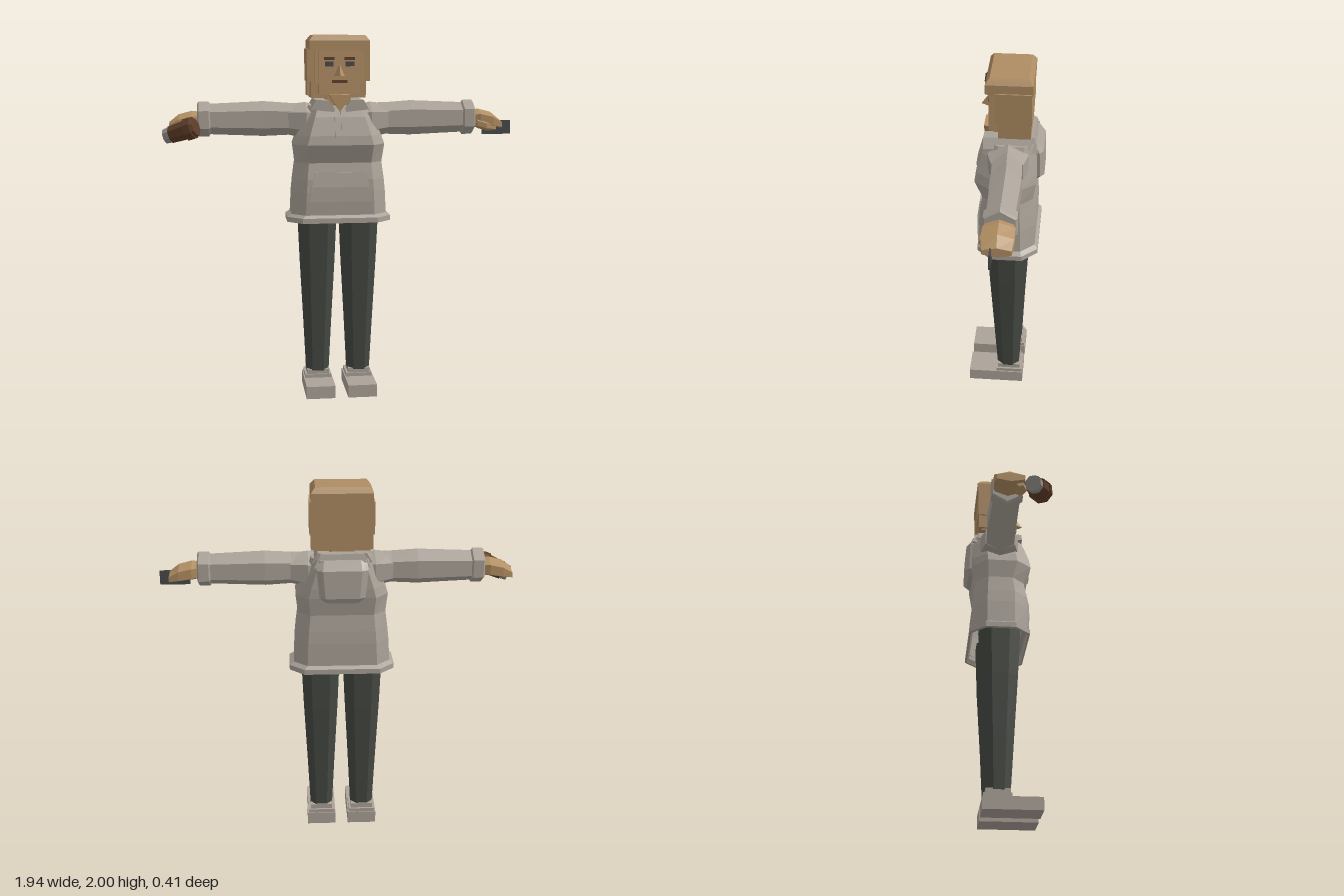
import * as THREE from 'three';

const mat = (name, color) => new THREE.MeshStandardMaterial({ name, color, flatShading: true });
const V = (x, y, z) => new THREE.Vector3(x, y, z);

export function createModel() {
  const skin = mat('skin', 0xb39064), hair = mat('hair', 0xae8c62), cloth = mat('hoodie', 0xaaa298);
  const shoe = mat('shoe', 0xaba298), pants = mat('trousers', 0x444841), brown = mat('cup brown', 0x5e3e28);
  const lid = mat('cup grey', 0x94908c), dark = mat('phone and eyes', 0x474a4a);
  cloth.side = THREE.DoubleSide;

  const root = new THREE.Group();
  const body = new THREE.Group();
  body.name = 'body';
  body.position.x = -0.012;
  root.add(body);

  function add(name, geo, material, parent = body) {
    const m = new THREE.Mesh(geo, material);
    m.name = name;
    parent.add(m);
    return m;
  }
  // box given by its limits
  function box(name, m, x0, x1, y0, y1, z0, z1, parent = body) {
    const g = new THREE.BoxGeometry(x1 - x0, y1 - y0, z1 - z0);
    g.translate((x0 + x1) / 2, (y0 + y1) / 2, (z0 + z1) / 2);
    return add(name, g, m, parent);
  }
  // skin a series of rings with flat faces, optionally capping the ends
  function loft(rings, capStart = true, capEnd = true) {
    const pts = [], n = rings[0].length, last = rings.length - 1;
    for (let i = 0; i < last; i++) for (let j = 0; j < n; j++) {
      const k = (j + 1) % n, a = rings[i][j], b = rings[i][k], c = rings[i + 1][k], d = rings[i + 1][j];
      pts.push(a, b, c, a, c, d);
    }
    for (let j = 1; j < n - 1; j++) {
      if (capStart) pts.push(rings[0][0], rings[0][j + 1], rings[0][j]);
      if (capEnd) pts.push(rings[last][0], rings[last][j], rings[last][j + 1]);
    }
    const g = new THREE.BufferGeometry().setFromPoints(pts);
    g.computeVertexNormals();
    return g;
  }
  // chamfered rectangle at height y: half width w, front zf, back zb
  function octagon([y, w, zf, zb], fx = 0.72, fz = 0.5) {
    const c = (zf + zb) / 2, d = (zf - zb) / 2;
    return [[-fx, 1], [fx, 1], [1, fz], [1, -fz], [fx, -1], [-fx, -1], [-1, -fz], [-1, fz]]
      .map(([x, z]) => V(x * w, y, c + z * d));
  }
  // rectangle at height y
  const rect = ([y, w, zf, zb]) => [V(-w, y, zf), V(w, y, zf), V(w, y, zb), V(-w, y, zb)];
  // six-sided ring across the arm, with a corner on top
  const hex = ([x, y, z, ry, rz]) => Array.from({ length: 6 }, (_, i) => {
    const t = i * Math.PI / 3;
    return V(x, y + Math.cos(t) * ry, z + Math.sin(t) * rz / 0.866);
  });

  // hoodie body, open at the bottom
  add('hoodieBody', loft([
    [1.0, 0.265, 0.135, -0.165], [1.15, 0.257, 0.138, -0.165], [1.22, 0.25, 0.136, -0.16],
    [1.31, 0.238, 0.12, -0.15], [1.41, 0.25, 0.16, -0.166], [1.46, 0.232, 0.153, -0.168],
    [1.56, 0.19, 0.125, -0.167], [1.62, 0.165, 0.1, -0.165]
  ].map(r => octagon(r)), false, true), cloth);
  add('hem', loft([
    [1.0, 0.262, 0.13, -0.16], [0.978, 0.272, 0.138, -0.172], [0.98, 0.288, 0.148, -0.182],
    [1.008, 0.288, 0.148, -0.182], [1.025, 0.262, 0.134, -0.164]
  ].map(r => octagon(r)), false, false), cloth);

  // front pocket, following the belly
  add('pocket', loft([
    [1.03, 0.185, 0.145, 0.11], [1.1, 0.175, 0.15, 0.11], [1.18, 0.16, 0.149, 0.11], [1.26, 0.14, 0.138, 0.1]
  ].map(rect)), cloth);

  // placket strips on the chest
  for (const s of [-1, 1]) {
    const strip = loft([[1.42, 0.014, 0.166, 0.14], [1.46, 0.014, 0.16, 0.13], [1.56, 0.014, 0.132, 0.1],
      [1.6, 0.014, 0.116, 0.08]].map(rect));
    add('placket', strip, cloth).position.x = s * 0.017;
  }

  // collar flaps either side of the neck and a back piece
  for (const s of [-1, 1]) {
    const flap = new THREE.Shape([[0.012, 1.585], [0.16, 1.6], [0.13, 1.652], [0.062, 1.65]]
      .map(p => new THREE.Vector2(...p)));
    const g = new THREE.ExtrudeGeometry(flap, { depth: 0.25, bevelEnabled: false });
    add('collarFlap', g, cloth).scale.x = s;
    body.children.at(-1).position.z = -0.135;
  }
  add('collarBack', loft([[1.58, 0.15, -0.08, -0.168], [1.65, 0.115, -0.08, -0.15]].map(rect)), cloth);

  // hood hanging on the back
  add('hood', loft([
    [1.39, 0.09, -0.1, -0.188], [1.42, 0.122, -0.1, -0.205], [1.57, 0.138, -0.1, -0.2], [1.62, 0.13, -0.1, -0.165]
  ].map(r => octagon(r, 0.75, 0.6))), cloth);

  // neck and the open throat
  box('neck', skin, -0.068, 0.068, 1.58, 1.7, -0.1, 0.06);
  const throat = new THREE.Shape([[-0.06, 1.68], [0, 1.585], [0.06, 1.68]].map(p => new THREE.Vector2(...p)));
  add('throat', new THREE.ExtrudeGeometry(throat, { depth: 0.06, bevelEnabled: false }), skin).position.z = 0.058;

  // arms, one side built and mirrored
  for (const s of [1, -1]) {
    const arm = new THREE.Group();
    arm.name = s > 0 ? 'leftArm' : 'rightArm';
    arm.scale.x = s;
    body.add(arm);
    add('shoulder', loft([
      [0.1, 1.53, -0.02, 0.085, 0.09], [0.18, 1.535, -0.018, 0.1, 0.108], [0.275, 1.54, -0.02, 0.084, 0.082]
    ].map(hex)), cloth, arm);
    add('sleeve', loft([
      [0.19, 1.54, -0.02, 0.09, 0.08], [0.27, 1.543, -0.02, 0.088, 0.076], [0.41, 1.545, -0.027, 0.096, 0.078],
      [0.71, 1.545, -0.027, 0.083, 0.07]
    ].map(hex)), cloth, arm);
    add('cuff', loft([
      [0.7, 1.545, -0.027, 0.085, 0.072], [0.708, 1.545, -0.027, 0.096, 0.082],
      [0.762, 1.545, -0.027, 0.096, 0.082], [0.77, 1.545, -0.027, 0.085, 0.074]
    ].map(hex)), cloth, arm);
    add('hand', loft([
      [0.75, 1.54, -0.025, 0.045, 0.06], [0.8, 1.538, -0.025, 0.053, 0.078],
      [0.87, 1.525, -0.024, 0.048, 0.08], [0.922, 1.505, -0.024, 0.026, 0.07]
    ].map(hex)), skin, arm);
    add('thumb', loft([
      [0.78, 1.515, 0.035, 0.028, 0.022], [0.83, 1.5, 0.042, 0.027, 0.024], [0.89, 1.488, 0.025, 0.016, 0.016]
    ].map(hex)), skin, arm);
  }

  // phone in the left hand
  box('phone', dark, 0.805, 0.968, 1.45, 1.528, 0, 0.009, root);

  // cup by the right hand, lying along a slanted axis
  const cup = new THREE.Group();
  cup.name = 'cup';
  const low = V(-0.95, 1.462, 0.085), high = V(-0.785, 1.518, 0.153);
  cup.position.copy(low);
  cup.quaternion.setFromUnitVectors(V(0, 1, 0), high.clone().sub(low).normalize());
  root.add(cup);
  const round = (name, m, r0, r1, y0, y1) =>
    add(name, new THREE.CylinderGeometry(r1, r0, y1 - y0, 8).translate(0, (y0 + y1) / 2, 0), m, cup);
  round('cupBase', lid, 0.042, 0.046, 0, 0.04);
  round('cupBody', brown, 0.049, 0.056, 0.036, 0.135);
  round('cupRim', brown, 0.063, 0.062, 0.13, 0.17);
  round('cupTop', brown, 0.055, 0.048, 0.17, 0.185);

  // legs and shoes
  for (const s of [-1, 1]) {
    const leg = new THREE.Group();
    leg.name = s > 0 ? 'leftLeg' : 'rightLeg';
    leg.position.x = s * 0.117;
    body.add(leg);
    add('trouserLeg', loft([
      [0.11, 0.063, 0.045, -0.082], [0.4, 0.077, 0.063, -0.095], [0.75, 0.095, 0.085, -0.115], [1.04, 0.107, 0.1, -0.125]
    ].map(r => octagon(r, 0.5, 0.45))), pants, leg);
    box('shoeSole', shoe, -0.081, 0.081, 0, 0.07, -0.105, 0.21, leg);
    box('shoeHeel', shoe, -0.074, 0.074, 0.06, 0.09, -0.1, 0.05, leg);
    box('ankle', shoe, -0.062, 0.062, 0.085, 0.117, -0.088, 0.042, leg);
  }

  // head and hair
  box('face', skin, -0.112, 0.112, 1.682, 1.93, -0.1, 0.088);
  box('cheeks', skin, -0.135, 0.135, 1.74, 1.93, -0.1, 0.078);
  box('lowerHair', hair, -0.15, 0.15, 1.66, 1.93, -0.118, 0.035);
  box('sideHair', hair, -0.172, 0.172, 1.75, 1.925, -0.138, 0.05);
  box('backHair', hair, -0.165, 0.165, 1.67, 1.92, -0.134, -0.05);
  add('hairCap', loft([
    [1.918, 0.164, 0.1, -0.143], [1.97, 0.164, 0.1, -0.143], [1.988, 0.15, 0.088, -0.13], [2, 0.14, 0.078, -0.12]
  ].map(rect)), hair);

  // facial features
  for (const s of [-1, 1]) {
    const x = s * 0.056;
    box('brow', brown, x - 0.028, x + 0.028, 1.866, 1.882, 0.084, 0.093);
    box('eye', dark, x - 0.024, x + 0.024, 1.832, 1.858, 0.084, 0.092);
  }
  box('mouth', brown, -0.042, 0.042, 1.742, 1.758, 0.084, 0.092);
  const nose = add('nose', new THREE.ConeGeometry(0.048, 0.068, 4), skin);
  nose.scale.x = 0.62;
  nose.position.set(0, 1.814, 0.087);

  return root;
}
